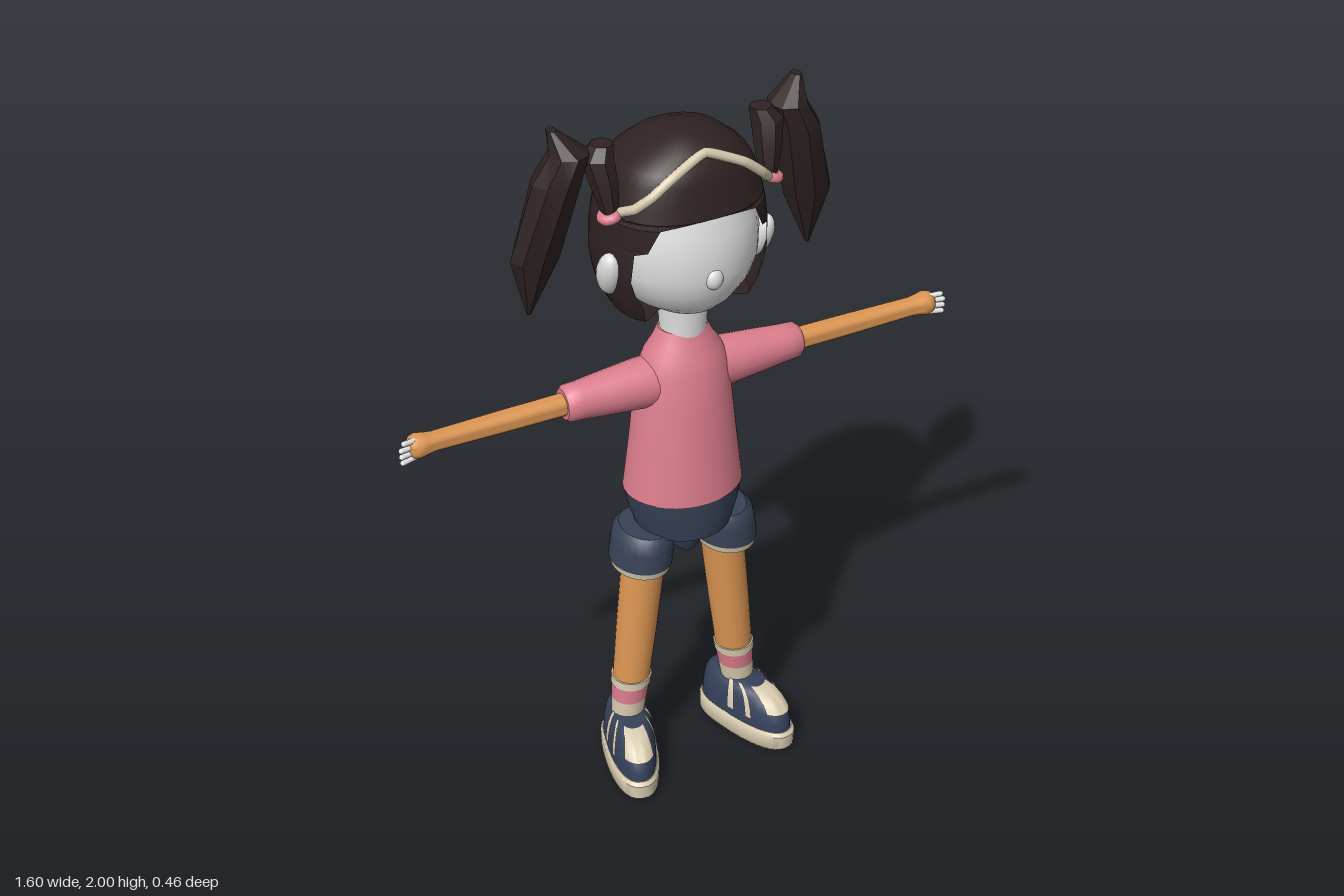
import * as THREE from 'three';
import { toCreasedNormals } from 'three/addons/utils/BufferGeometryUtils.js';

const mat = (name, color, side = THREE.FrontSide) => {
  const m = new THREE.MeshStandardMaterial({ color, side });
  m.name = name;
  return m;
};

// Skins horizontal oval rings, listed bottom to top.
// Row: [y, half width, front depth, back depth, centre x, centre z, opening angle at front]
function loft(rows, { seg = 28, n = 2, from = 0, to = Math.PI * 2, cap = true, crease = 0.7 } = {}) {
  const pos = [], idx = [], w = seg + 1;
  const pow = (v) => Math.sign(v) * Math.abs(v) ** (2 / n);
  for (const [y, rx, zf, zb = zf, cx = 0, cz = 0, open = 0] of rows)
    for (let j = 0; j <= seg; j++) {
      const a = from + open + ((to - from - 2 * open) * j) / seg;
      const c = pow(Math.cos(a));
      pos.push(cx + rx * pow(Math.sin(a)), y, cz + c * (c > 0 ? zf : zb));
    }
  for (let i = 0; i < rows.length - 1; i++)
    for (let j = 0; j < seg; j++) {
      const a = i * w + j;
      idx.push(a, a + 1, a + w + 1, a, a + w + 1, a + w);
    }
  if (cap)
    for (const i of [0, rows.length - 1]) {
      const [y, , , , cx = 0, cz = 0] = rows[i], centre = pos.length / 3;
      pos.push(cx, y, cz);
      for (let j = 0; j < seg; j++) {
        const a = i * w + j;
        idx.push(centre, ...(i ? [a, a + 1] : [a + 1, a]));
      }
    }
  const g = new THREE.BufferGeometry();
  g.setAttribute('position', new THREE.Float32BufferAttribute(pos, 3));
  g.setIndex(idx);
  return toCreasedNormals(g, crease);
}

// Mirrors a geometry across x and keeps its faces outward
function mirrored(geo) {
  const g = geo.index ? geo.toNonIndexed() : geo.clone();
  g.scale(-1, 1, 1);
  const idx = [];
  for (let i = 0; i < g.attributes.position.count; i += 3) idx.push(i, i + 2, i + 1);
  return g.setIndex(idx);
}

export function createModel() {
  const model = new THREE.Group();
  model.name = 'girl';
  const white = mat('pale skin', 0xe2e2e2);
  const tan = mat('tan skin', 0xdc9653);
  const pink = mat('pink cloth', 0xdd7e8d);
  const navy = mat('navy denim', 0x384256);
  const shoeBlue = mat('shoe blue', 0x35415a);
  const cream = mat('cream', 0xd8ccb0, THREE.DoubleSide);
  const hairMat = mat('dark hair', 0x2f2222, THREE.DoubleSide);

  const add = (name, geo, material) => {
    const m = new THREE.Mesh(geo, material);
    m.name = name;
    model.add(m);
  };
  const pair = (name, geo, material) => {
    add(name + 'Left', geo, material);
    add(name + 'Right', mirrored(geo), material);
  };

  // Head and neck
  add('face', loft([
    [1.46, 0.05, 0.09, 0.06], [1.475, 0.1, 0.125, 0.1], [1.5, 0.14, 0.15, 0.13], [1.55, 0.18, 0.178, 0.15],
    [1.6, 0.2, 0.188, 0.15], [1.66, 0.203, 0.187, 0.15], [1.71, 0.2, 0.18, 0.15], [1.78, 0.18, 0.158, 0.14],
  ], { crease: 1.2 }), white);
  add('nose', new THREE.SphereGeometry(0.024, 16, 12).scale(1, 1.2, 0.75).translate(0, 1.6, 0.182), white);
  pair('ear', new THREE.SphereGeometry(1, 18, 14).scale(0.032, 0.075, 0.038)
    .rotateX(0.45).rotateZ(-0.15).translate(0.213, 1.595, 0.028), white);
  add('neck', loft([
    [1.36, 0.062, 0.06, 0.06, 0, 0.015], [1.41, 0.064, 0.06, 0.06, 0, 0.015], [1.47, 0.072, 0.064, 0.064, 0, 0.015],
  ]), white);

  // Hair shell with an opening for the face
  add('hair', loft([
    [1.47, 0.18, 0.14, 0.226, 0, 0, 0.9], [1.52, 0.205, 0.16, 0.233, 0, 0, 0.85], [1.56, 0.215, 0.17, 0.235, 0, 0, 0.95],
    [1.6, 0.222, 0.178, 0.233, 0, 0, 1.0], [1.68, 0.222, 0.18, 0.225, 0, 0, 0.95], [1.69, 0.221, 0.18, 0.224, 0, 0, 0.76],
    [1.75, 0.212, 0.178, 0.214, 0, 0, 0.62], [1.765, 0.209, 0.176, 0.212], [1.8, 0.2, 0.168, 0.203],
    [1.85, 0.183, 0.159, 0.175], [1.88, 0.165, 0.15, 0.158], [1.92, 0.115, 0.125, 0.112], [1.945, 0.045, 0.06, 0.05],
  ], { seg: 40, n: 2.3, crease: 0.8 }), hairMat);

  // Headband
  const half = [[0.205, 1.785, 0.07], [0.185, 1.81, 0.115], [0.15, 1.845, 0.14], [0.1, 1.885, 0.146]];
  const band = new THREE.CatmullRomCurve3([
    ...half.map(([x, y, z]) => new THREE.Vector3(-x, y, z)),
    new THREE.Vector3(0, 1.925, 0.128),
    ...half.reverse().map((p) => new THREE.Vector3(...p)),
  ], false, 'catmullrom', 0.2);
  add('headband', new THREE.TubeGeometry(band, 40, 0.013, 8), cream);

  // Pigtails
  pair('pigtailBase', loft([
    [1.78, 0.022, 0.025, 0.025, 0.22, 0.055], [1.86, 0.036, 0.04, 0.04, 0.228, 0.035],
    [1.92, 0.042, 0.045, 0.045, 0.235, 0.015], [1.95, 0.03, 0.03, 0.03, 0.22, 0.01],
  ], { seg: 7, crease: 0.3 }), hairMat);
  pair('pigtail', loft([
    [1.49, 0.006, 0.008, 0.008, 0.402, -0.05], [1.66, 0.07, 0.045, 0.045, 0.385, -0.03],
    [1.87, 0.064, 0.065, 0.065, 0.333, -0.008], [1.94, 0.052, 0.055, 0.055, 0.302, 0],
    [2, 0.012, 0.018, 0.018, 0.338, -0.02],
  ], { seg: 8, crease: 0.3 }), hairMat);
  pair('hairTie', new THREE.TorusGeometry(0.02, 0.014, 8, 14).rotateX(Math.PI / 2)
    .rotateZ(-0.3).translate(0.225, 1.778, 0.06), pink);

  // Shirt
  add('shirt', loft([
    [0.9, 0.166, 0.142, 0.138, 0, 0.013], [0.94, 0.161, 0.138, 0.134, 0, 0.013], [1.05, 0.148, 0.128, 0.122, 0, 0.013],
    [1.18, 0.135, 0.114, 0.11, 0, 0.013], [1.27, 0.124, 0.101, 0.098, 0, 0.013], [1.315, 0.107, 0.087, 0.085, 0, 0.013],
    [1.35, 0.084, 0.07, 0.068, 0, 0.013], [1.385, 0.067, 0.058, 0.058, 0, 0.013],
  ], { seg: 36 }), pink);

  // Arms, lofted upright then laid along x
  const limb = (rows) => loft(rows, { seg: 20 }).rotateZ(-Math.PI / 2).translate(0, 1.237, 0.013);
  pair('sleeve', limb([
    [0.07, 0.07, 0.068], [0.13, 0.068, 0.066], [0.22, 0.06, 0.058], [0.3, 0.052, 0.05], [0.335, 0.05, 0.048], [0.345, 0.042, 0.04],
  ]), pink);
  pair('arm', limb([
    [0.33, 0.03, 0.031], [0.5, 0.029, 0.03], [0.7, 0.026, 0.027], [0.725, 0.029, 0.031],
    [0.745, 0.034, 0.034], [0.762, 0.029, 0.028], [0.772, 0.015, 0.015],
  ]), tan);
  for (let i = 0; i < 4; i++) {
    const t = i - 1.5;
    pair('finger' + (i + 1), new THREE.CapsuleGeometry(0.0075, i === 0 ? 0.035 : 0.048, 4, 10)
      .rotateZ(-Math.PI / 2 + t * -0.05).rotateY(-0.2)
      .translate(0.771 - Math.abs(t) * 0.002, 1.235 - t * 0.017, 0.024), white);
  }

  // Shorts
  add('shortsWaist', loft([
    [0.765, 0.1, 0.1, 0.1, 0, 0.013], [0.78, 0.132, 0.13, 0.122, 0, 0.013],
    [0.84, 0.152, 0.138, 0.131, 0, 0.013], [0.905, 0.164, 0.14, 0.136, 0, 0.013],
  ], { seg: 36 }), navy);
  add('shortsCrotch', loft([
    [0.69, 0.03, 0.05, 0.05, 0, 0.013], [0.72, 0.045, 0.07, 0.07, 0, 0.013], [0.8, 0.06, 0.095, 0.095, 0, 0.013],
  ]), navy);
  pair('shortsLeg', loft([
    [0.69, 0.084, 0.102, 0.102, 0.13, 0.017], [0.745, 0.082, 0.101, 0.101, 0.124, 0.017],
    [0.775, 0.079, 0.097, 0.097, 0.12, 0.017], [0.79, 0.068, 0.085, 0.085, 0.115, 0.017],
  ]), navy);
  pair('shortsCuff', loft([
    [0.67, 0.078, 0.096, 0.096, 0.131, 0.017], [0.692, 0.083, 0.101, 0.101, 0.13, 0.017],
  ]), cream);

  // Legs and striped socks, leaning outwards
  const leg = (...rows) => loft(rows.map(([y, r]) => [y, r, r, r, 0.12 + (0.68 - y) * 0.108, 0.017]), { seg: 24 });
  pair('leg', leg([0.27, 0.052], [0.45, 0.057], [0.7, 0.061]), tan);
  pair('sockTop', leg([0.265, 0.056], [0.29, 0.057]), cream);
  pair('sockStripe', leg([0.215, 0.05], [0.266, 0.054]), pink);
  pair('sockAnkle', leg([0.14, 0.045], [0.216, 0.05]), cream);

  // Shoes, built toe forward then turned out
  const place = (g) => g.rotateY(0.28).translate(0.174, 0, 0.014);
  const upper = [
    [0.055, 0.068, 0.208, 0.112], [0.09, 0.067, 0.206, 0.11], [0.12, 0.064, 0.195, 0.107],
    [0.145, 0.058, 0.172, 0.102], [0.162, 0.05, 0.14, 0.094], [0.17, 0.04, 0.1, 0.08],
  ];
  const raised = (rows) => rows.map(([y, rx, zf, zb]) => [y + 0.002, rx + 0.004, zf + 0.004, zb + 0.004]);
  pair('shoeSole', place(loft([
    [0, 0.066, 0.205, 0.112], [0.012, 0.074, 0.218, 0.118], [0.055, 0.075, 0.22, 0.118], [0.065, 0.068, 0.21, 0.112],
  ], { seg: 36, n: 2.4 })), cream);
  pair('shoeUpper', place(loft(upper, { seg: 36, n: 2.3 })), shoeBlue);
  pair('toeCap', place(loft(raised(upper.slice(2)), { seg: 12, n: 2.3, from: -0.6, to: 0.6, cap: false })), cream);
  for (const [i, a] of [1.05, 1.38].entries())
    for (const [edge, s] of [['Outer', 1], ['Inner', -1]])
      pair(`shoeStripe${i + 1}${edge}`, place(loft(raised(upper.slice(1)), {
        seg: 3, n: 2.3, from: s * a - 0.06, to: s * a + 0.06, cap: false,
      })), cream);

  return model;
}
